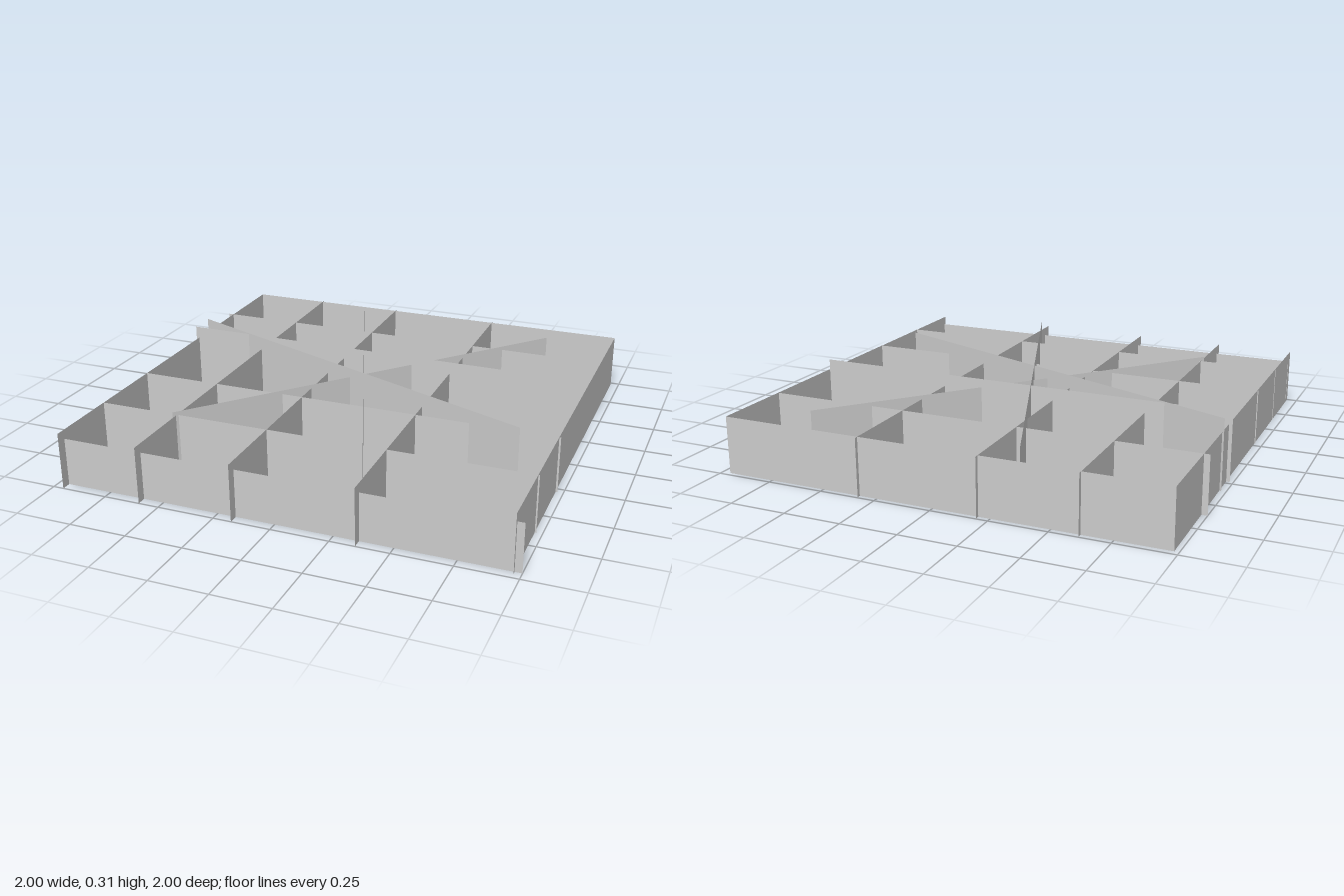
import * as THREE from 'three';

// Crate of thin upright dividers: an irregular grid crossed by three slanted sheets
export function createModel() {
  const group = new THREE.Group();
  const material = new THREE.MeshStandardMaterial({ color: 0xcccccc, side: THREE.DoubleSide, flatShading: true });

  // Upright sheet standing on the ground between two plan points
  function sheet(name, x1, z1, x2, z2, height) {
    const dx = x2 - x1, dz = z2 - z1;
    const mesh = new THREE.Mesh(new THREE.PlaneGeometry(Math.hypot(dx, dz), height), material);
    mesh.name = name;
    mesh.position.set((x1 + x2) / 2, height / 2, (z1 + z2) / 2);
    mesh.rotation.y = Math.atan2(-dz, dx);
    group.add(mesh);
  }

  // Outer walls
  sheet('frontWall', -0.955, 0.957, 1, 0.957, 0.21);
  sheet('backWall', -0.98, -0.975, 0.962, -0.98, 0.25);
  sheet('leftWall', 0.97, 0.97, 0.962, -0.98, 0.25);
  sheet('rightWall', -0.953, 1, -0.98, -0.975, 0.25);

  // Dividers running front to back, slightly skewed: x at the front, x at the back
  for (const [front, back] of [[-0.59, -0.62], [-0.17, -0.2], [0.358, 0.328]]) {
    sheet('lengthwiseDivider', front, 1, back, -0.995, 0.25);
  }

  // Dividers running side to side: right end, left end, height
  for (const [x1, z1, x2, z2, height] of [
    [-0.96, 0.65, 0.975, 0.645, 0.25],
    [-0.967, 0.28, 0.975, 0.28, 0.25],
    [-0.985, -0.232, 0.95, -0.22, 0.305],
    [-1, -0.613, 0.96, -0.613, 0.25],
  ]) sheet('crosswiseDivider', x1, z1, x2, z2, height);

  // Slanted sheets crossing near the middle
  sheet('steepDiagonal', 0.33, 0.848, -0.375, -0.972, 0.31);
  sheet('middleDiagonal', -0.605, 0.67, 0.655, -0.815, 0.267);
  sheet('shallowDiagonal', -0.98, -0.345, 0.825, 0.376, 0.31);

  return group;
}
